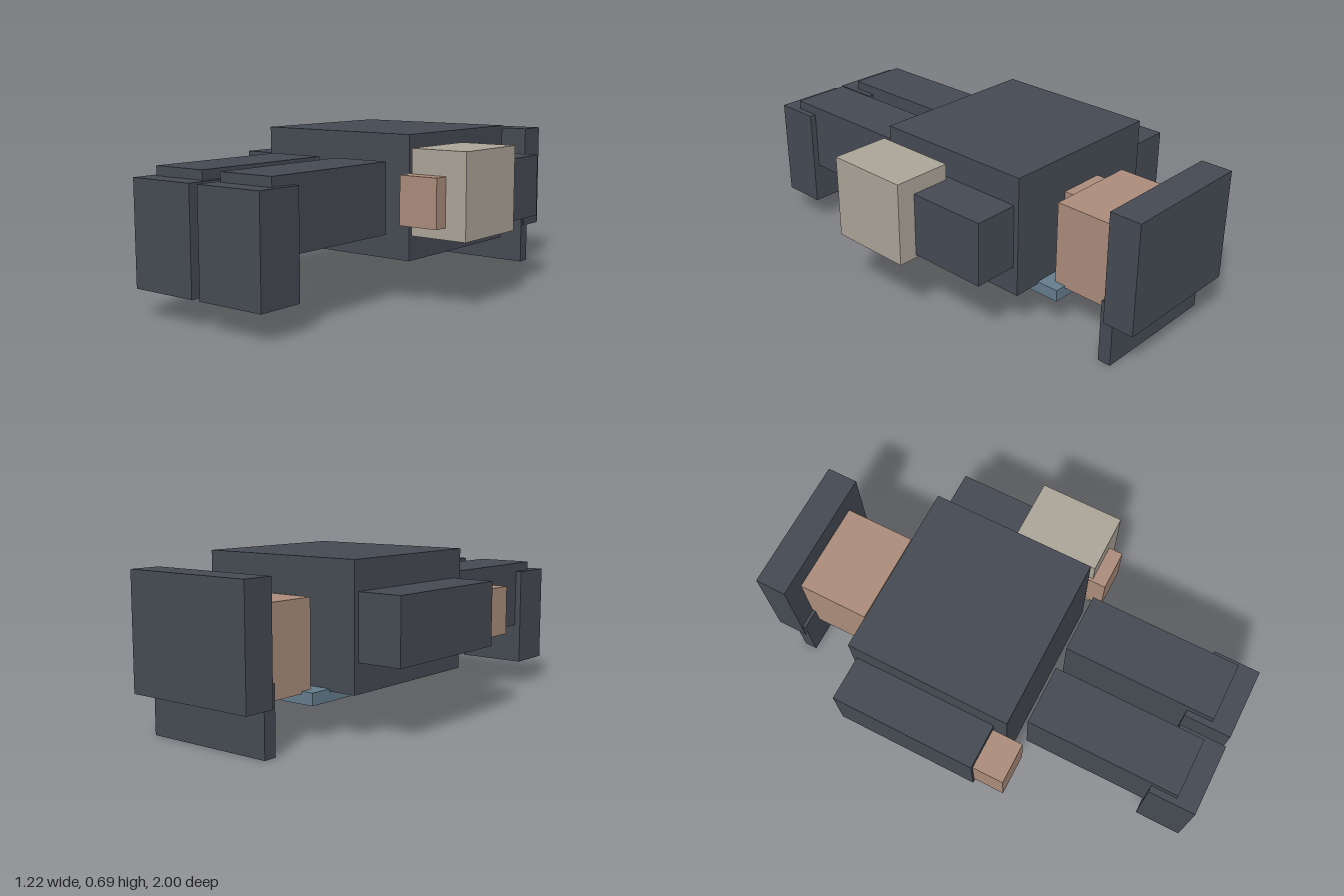
import * as THREE from 'three';

const makeMaterial = (name, color) => {
  const m = new THREE.MeshStandardMaterial({ color });
  m.name = name;
  return m;
};

export function createModel() {
  const group = new THREE.Group();
  group.name = 'lyingBlockFigure';

  const charcoal = makeMaterial('charcoal', 0x454a53);
  const skin = makeMaterial('skin', 0xaa8c7b);
  const tan = makeMaterial('tan', 0xaca498);
  const blue = makeMaterial('blue', 0x647d8c);

  // Box given by its limits on each axis
  const box = (name, material, [x0, x1], [y0, y1], [z0, z1]) => {
    const mesh = new THREE.Mesh(new THREE.BoxGeometry(x1 - x0, y1 - y0, z1 - z0), material);
    mesh.position.set((x0 + x1) / 2, (y0 + y1) / 2, (z0 + z1) / 2);
    mesh.name = name;
    group.add(mesh);
  };

  // The body's own middle line is slightly off x = 0
  const mid = -0.042;
  const pair = (name, material, [a, b], y, z) => {
    box('left' + name, material, [mid + a, mid + b], y, z);
    box('right' + name, material, [mid - b, mid - a], y, z);
  };

  // Body and limbs
  box('torso', charcoal, [-0.416, 0.333], [0.177, 0.685], [-0.51, 0.2]);
  pair('Arm', charcoal, [0.375, 0.568], [0.298, 0.565], [-0.488, 0.141]);
  pair('Hand', skin, [0.383, 0.557], [0.332, 0.532], [0.1, 0.275]);
  pair('Leg', charcoal, [0.047, 0.301], [0.285, 0.578], [0.255, 0.91]);
  pair('Shoe', charcoal, [0.021, 0.328], [0.111, 0.539], [0.8, 1]);

  // Head, neck and hat
  box('neck', skin, [-0.144, 0.06], [0.332, 0.532], [-0.57, -0.5]);
  box('head', skin, [-0.242, 0.16], [0.177, 0.539], [-0.87, -0.558]);
  box('hatCrown', charcoal, [-0.335, 0.25], [0.177, 0.647], [-1, -0.866]);
  box('hatBrim', charcoal, [-0.33, 0.246], [0, 0.268], [-0.906, -0.85]);

  // Straps on the chest and the case beside the left hand
  pair('Strap', blue, [0.095, 0.252], [0.137, 0.187], [-0.608, -0.235]);
  box('case', tan, [0.354, 0.608], [0.284, 0.633], [-0.148, 0.213]);

  return group;
}
